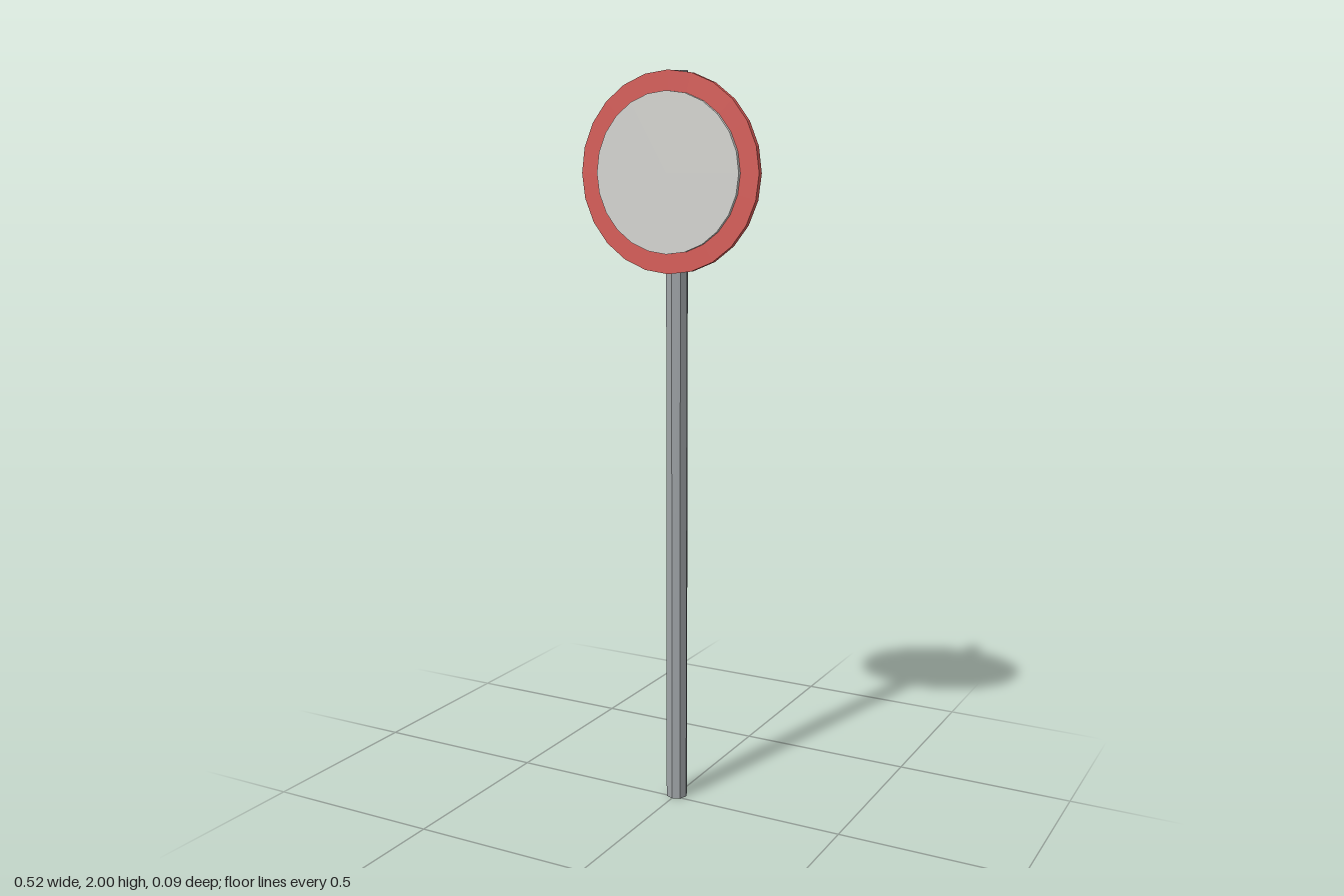
import * as THREE from 'three';

const material = (name, color) => {
  const m = new THREE.MeshStandardMaterial({ color, flatShading: true });
  m.name = name;
  return m;
};

export function createModel() {
  const red = material('signRed', 0xd65b56);
  const white = material('signWhite', 0xd4d4d0);
  const steel = material('poleGrey', 0x9fa4a7);
  const sign = new THREE.Group();
  sign.name = 'roadSign';

  // Octagonal pole, standing just behind the sign
  const pole = new THREE.Mesh(new THREE.CylinderGeometry(0.03, 0.03, 2, 8), steel);
  pole.name = 'pole';
  pole.position.set(0, 1, -0.017);
  sign.add(pole);

  // 24-sided discs facing the front
  const disc = (name, radius, back, front, mat) => {
    const geometry = new THREE.CylinderGeometry(radius, radius, front - back, 24);
    geometry.rotateX(Math.PI / 2);
    const mesh = new THREE.Mesh(geometry, mat);
    mesh.name = name;
    mesh.position.set(0, 1.74, (back + front) / 2);
    sign.add(mesh);
  };
  disc('signPlate', 0.26, 0.018, 0.034, red);
  disc('signFace', 0.208, 0.034, 0.044, white);

  return sign;
}
